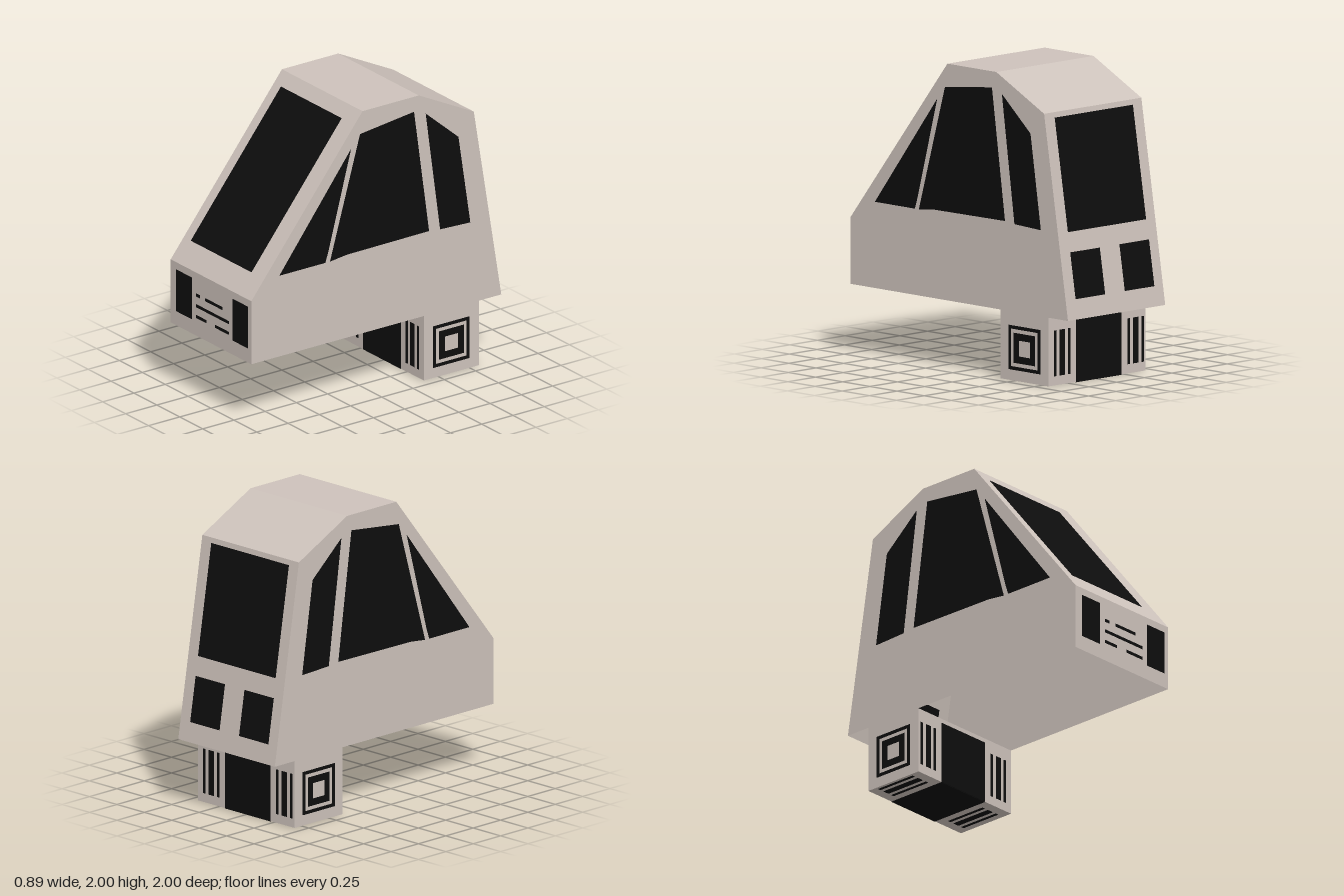
import * as THREE from 'three';

const HALF = 0.44;   // half width of cab and plinth
const THICK = 0.006; // painted plates straddle the sheet walls, so they show on both sides

export function createModel() {
  const model = new THREE.Group();
  model.name = 'cabin';
  const shell = new THREE.MeshStandardMaterial({ color: 0xcdc2bb, side: THREE.DoubleSide });
  shell.name = 'warm grey shell';
  const black = new THREE.MeshStandardMaterial({ color: 0x0d0d0d });
  black.name = 'black';

  const add = (name, geometry, material) => {
    const mesh = new THREE.Mesh(geometry, material);
    mesh.name = name;
    model.add(mesh);
    return mesh;
  };

  // Rectangle from x0 to x1, running between two [y, z] points
  const span = (name, x0, x1, [ya, za], [yb, zb], painted = true) => {
    const w = x1 - x0, h = Math.hypot(yb - ya, zb - za);
    const geometry = painted ? new THREE.BoxGeometry(w, h, THICK) : new THREE.PlaneGeometry(w, h);
    const mesh = add(name, geometry, painted ? black : shell);
    mesh.position.set((x0 + x1) / 2, (ya + yb) / 2, (za + zb) / 2);
    mesh.rotation.x = Math.atan2(zb - za, yb - ya);
  };

  const polygon = (points) => new THREE.Shape(points.map(([z, y]) => new THREE.Vector2(z, y)));

  // Flat side piece drawn in (z, y), placed on both sides
  const onBothSides = (name, shape, painted = true) => {
    for (const side of [1, -1]) {
      const geometry = painted
        ? new THREE.ExtrudeGeometry(shape, { depth: THICK, bevelEnabled: false }).translate(0, 0, -THICK / 2)
        : new THREE.ShapeGeometry(shape);
      const mesh = add((side > 0 ? 'left' : 'right') + name, geometry, painted ? black : shell);
      mesh.rotation.y = -Math.PI / 2;
      mesh.position.x = side * HALF;
    }
  };

  // Cab shell, open underneath
  const profile = [[1, 0.45], [1, 0.89], [0.11, 2], [-0.34, 2], [-0.78, 1.78], [-1, 0.45]];
  onBothSides('Wall', polygon(profile), false);
  ['nosePanel', 'windscreenPanel', 'roof', 'rearRoof', 'backPanel'].forEach((name, i) => {
    const [za, ya] = profile[i], [zb, yb] = profile[i + 1];
    span(name, -HALF, HALF, [ya, za], [yb, zb], false);
  });

  // Windscreen
  const onSlope = (y) => [y, 1 - (y - 0.89) * 0.89 / 1.11];
  span('windscreen', -0.36, 0.3, onSlope(1.02), onSlope(1.92));

  // Side windows
  onBothSides('FrontWindow', polygon([[0.775, 1.015], [0.41, 1.015], [0.385, 1.09], [0.205, 1.755]]));
  onBothSides('MiddleWindow', polygon([[0.37, 1.015], [0.24, 1.03], [-0.42, 1.035], [-0.3, 1.895], [0.13, 1.845]]));
  onBothSides('RearWindow', polygon([[-0.395, 1.86], [-0.51, 1.025], [-0.75, 1.015], [-0.655, 1.635]]));

  // Headlights and nose grille
  const nose = (name, x0, x1, y0, y1) => span(name, x0, x1, [y0, 1], [y1, 1]);
  nose('rightHeadlight', -0.38, -0.21, 0.55, 0.84);
  nose('leftHeadlight', 0.24, 0.405, 0.55, 0.84);
  const slats = [
    [-0.16, -0.12, 0.735], [-0.06, 0.125, 0.735], [-0.16, 0.195, 0.66],
    [-0.16, -0.05, 0.585], [0.045, 0.195, 0.585],
  ];
  for (const [x0, x1, y] of slats) nose('grilleSlat', x0, x1, y - 0.01, y + 0.01);

  // Back window and lamps
  const onBack = (y) => [y, -1 + (y - 0.45) * 0.22 / 1.33];
  span('backWindow', -0.355, 0.35, onBack(1.01), onBack(1.745));
  span('rightBackLamp', -0.36, -0.095, onBack(0.58), onBack(0.88));
  span('leftBackLamp', 0.085, 0.35, onBack(0.58), onBack(0.88));

  // Plinth under the rear of the cab
  add('plinth', new THREE.BoxGeometry(2 * HALF, 0.45, 0.44), shell).position.set(0, 0.225, -0.6);

  // Plinth centre panels and bars, on front, back and underside
  const bars = [
    [-0.42, -0.4], [-0.37, -0.325], [-0.295, -0.275],
    [0.245, 0.265], [0.295, 0.34], [0.37, 0.39],
  ];
  for (const z of [-0.38, -0.82]) {
    span('plinthCentrePanel', -0.22, 0.19, [0, z], [0.42, z]);
    for (const [x0, x1] of bars) span('plinthBar', x0, x1, [0.06, z], [0.36, z]);
  }
  span('plinthUnderPanel', -0.22, 0.19, [0, -0.82], [0, -0.38]);
  for (const [x0, x1] of bars) span('plinthUnderBar', x0, x1, [0, -0.75], [0, -0.45]);

  // Square rings on the plinth sides
  const square = (z, y, w, h) => [[z - w, y - h], [z + w, y - h], [z + w, y + h], [z - w, y + h]];
  for (const [name, outer, inner] of [['OuterRing', 0.145, 0.123], ['InnerRing', 0.098, 0.052]]) {
    const ring = polygon(square(-0.6, 0.215, outer, outer));
    ring.holes.push(polygon(square(-0.6, 0.215, inner, inner)));
    onBothSides(name, ring);
  }

  return model;
}
